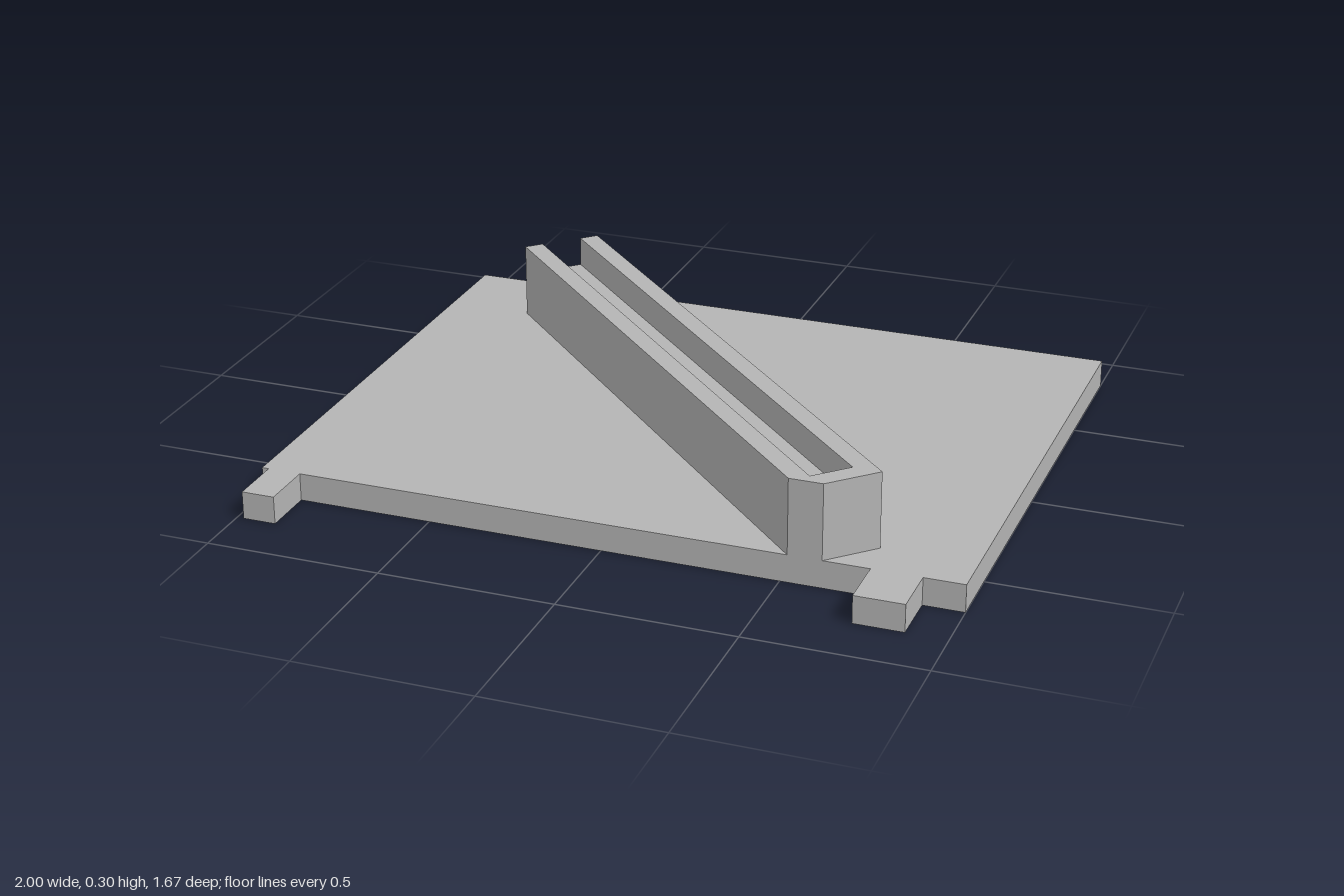
import * as THREE from 'three';

// Extrude a floor-plan outline given as [x, z] points from height y0 to y1
function slab(name, plan, y0, y1, material) {
  const shape = new THREE.Shape(plan.map(([x, z]) => new THREE.Vector2(x, -z)));
  const geometry = new THREE.ExtrudeGeometry(shape, { depth: y1 - y0, bevelEnabled: false });
  geometry.rotateX(-Math.PI / 2);
  geometry.translate(0, y0, 0);
  const mesh = new THREE.Mesh(geometry, material);
  mesh.name = name;
  return mesh;
}

export function createModel() {
  const grey = new THREE.MeshStandardMaterial({ color: 0xb4b4b4 });
  grey.name = 'plain grey';

  const baseTop = 0.08, grooveFloor = 0.213, railTop = 0.3;
  const back = -0.838, front = 0.68, tabEnd = 0.835;

  // Flat plate with two tabs on the front edge
  const basePlan = [
    [-1, back], [-1, front],
    [-0.98, front], [-0.98, tabEnd], [-0.885, tabEnd], [-0.885, front],
    [0.745, front], [0.745, tabEnd], [0.885, tabEnd], [0.885, front],
    [1, front], [1, back],
  ];

  // Diagonal rail, its front corner cut flush with the plate
  const railPlan = [
    [-0.75, -0.59], [0.52, front], [0.615, front], [0.735, 0.56], [-0.58, -0.755],
  ];
  // Groove, open at the back end and closed at the front
  const groovePlan = [[-0.62, -0.715], [0.655, 0.56], [0.567, 0.648], [-0.71, -0.63]];

  const model = new THREE.Group();
  model.name = 'plateWithGroovedRail';
  model.add(
    slab('basePlate', basePlan, 0, baseTop, grey),
    slab('railBody', railPlan, baseTop, grooveFloor, grey),
    slab('grooveWalls', [...railPlan, ...groovePlan], grooveFloor, railTop, grey),
  );
  return model;
}
